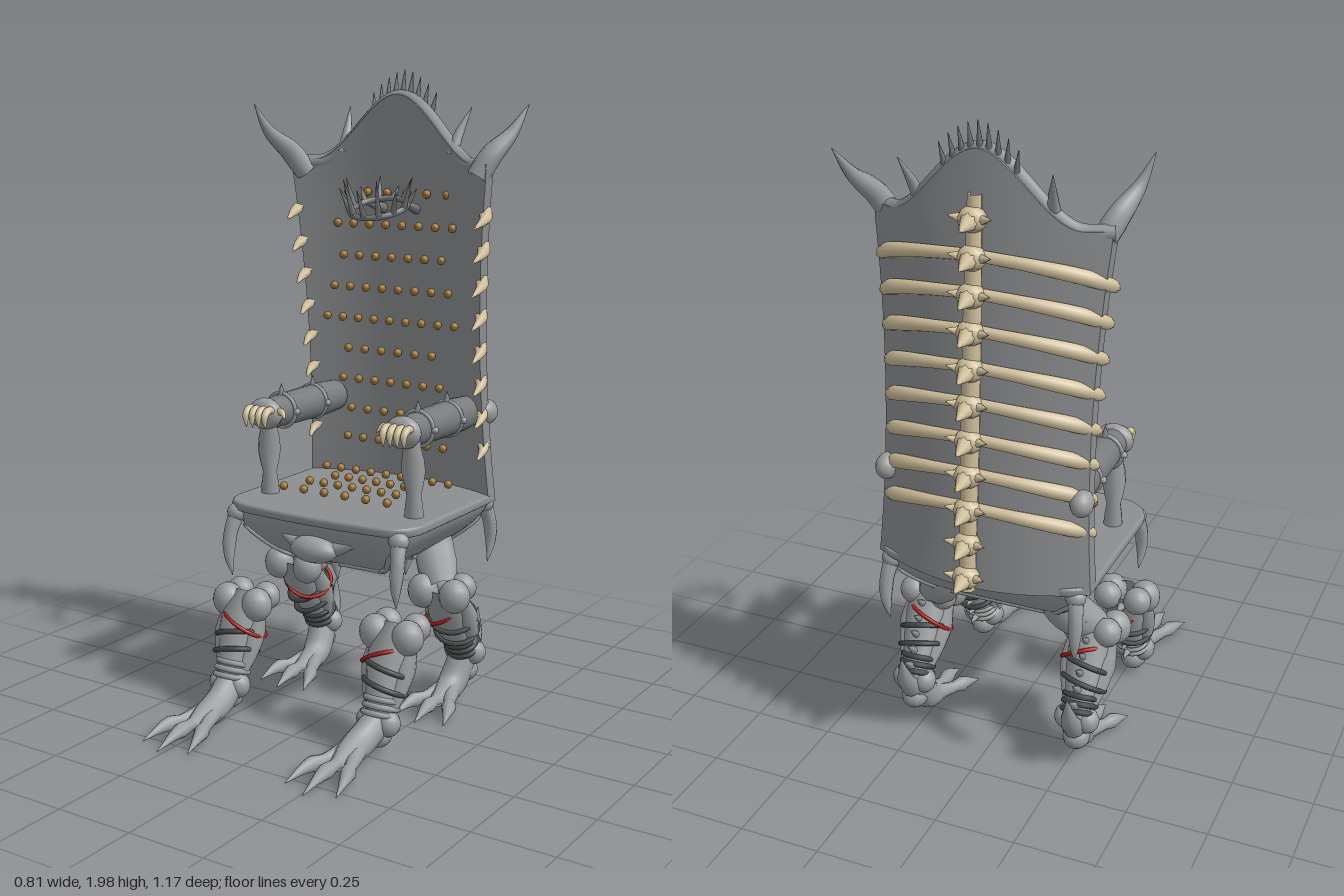
import * as THREE from 'three';

const V = (x, y, z) => new THREE.Vector3(x, y, z);
const mat = (c) => new THREE.MeshStandardMaterial({ color: c, side: THREE.DoubleSide });

export function createModel() {
  const root = new THREE.Group();
  const grey = mat(0x9a9c9e), hide = mat(0x8c8e90), iron = mat(0x787a7c), dark = mat(0x46484a);
  const bone = mat(0xcfbf9c), brass = mat(0x9a7438), red = mat(0xb01c1c);

  const add = (name, geo, m = grey, parent = root) => {
    const mesh = new THREE.Mesh(geo, m);
    mesh.name = name;
    parent.add(mesh);
    return mesh;
  };
  const group = (name) => {
    const g = new THREE.Group();
    g.name = name;
    root.add(g);
    return g;
  };
  // Tube through points whose radius follows a list of evenly spaced values
  const limb = (name, pts, radii, m, parent, seg = 14, sides = 10) => {
    const curve = new THREE.CatmullRomCurve3(pts.map((p) => V(...p)));
    const geo = new THREE.TubeGeometry(curve, seg, 1, sides);
    const pos = geo.attributes.position, p = V(0, 0, 0);
    for (let i = 0; i < pos.count; i++) {
      const t = Math.floor(i / (sides + 1)) / seg;
      const f = t * (radii.length - 1), k = Math.min(Math.floor(f), radii.length - 2);
      const c = curve.getPointAt(t);
      p.fromBufferAttribute(pos, i).sub(c).multiplyScalar(THREE.MathUtils.lerp(radii[k], radii[k + 1], f - k)).add(c);
      pos.setXYZ(i, p.x, p.y, p.z);
    }
    return add(name, geo, m, parent);
  };
  const spike = (name, a, b, r, m, parent) => limb(name, [a, b], [r, r * 0.55, 0.001], m, parent, 4, 8);
  const ball = (name, p, s, m, parent, n = 14) => {
    const mesh = add(name, new THREE.SphereGeometry(1, n, Math.ceil(n * 0.7)), m, parent);
    mesh.position.set(...p);
    mesh.scale.set(...(Array.isArray(s) ? s : [s, s, s]));
    return mesh;
  };
  const ring = (name, p, dir, R, r, m, parent) => {
    const mesh = add(name, new THREE.TorusGeometry(R, r, 8, 24), m, parent);
    mesh.position.set(...p);
    mesh.quaternion.setFromUnitVectors(V(0, 0, 1), V(...dir).normalize());
    return mesh;
  };

  // Backrest: a block bent round in plan, leaning forward, with a peaked top
  const edgeZ = (y) => -0.265 - 0.081 * (1.7 - y);
  const halfW = (y) => Math.min(0.318 + 0.1 * (y - 1.1) ** 2, 0.352);
  const topY = (u) => 1.71 + 0.205 * (1 - THREE.MathUtils.smoothstep(Math.abs(u), 0, 0.82));
  const back = new THREE.BoxGeometry(2, 1, 1, 40, 24, 2);
  const bp = back.attributes.position;
  for (let i = 0; i < bp.count; i++) {
    const u = bp.getX(i), y = 0.65 + (bp.getY(i) + 0.5) * (topY(u) - 0.65), t = 0.5 - bp.getZ(i);
    bp.setXYZ(i, u * halfW(y), y, edgeZ(y) - (0.08 + 0.015 * t) * (1 - u * u) - 0.045 * t);
  }
  back.computeVertexNormals();
  add('backrest', back, hide);
  const rim = [];
  for (let i = 0; i <= 24; i++) {
    const u = -1 + i / 12, y = topY(u);
    rim.push([u * 0.348, y - 0.01, edgeZ(y) - 0.088 * (1 - u * u) - 0.022]);
  }
  limb('backrestTopRim', rim, [0.025, 0.025], hide, root, 48);

  // Corner horns sweep opposite ways, with a small horn inside each
  const horns = group('horns');
  const hr = [0.034, 0.036, 0.031, 0.022, 0.012, 0.001];
  limb('horn', [[-0.315, 1.67, -0.29], [-0.345, 1.735, -0.25], [-0.376, 1.8, -0.175], [-0.405, 1.885, -0.135]], hr, grey, horns, 18);
  limb('horn', [[0.315, 1.67, -0.28], [0.345, 1.735, -0.31], [0.378, 1.8, -0.375], [0.405, 1.885, -0.435]], hr, grey, horns, 18);
  for (const s of [-1, 1]) limb('smallHorn', [[s * 0.2, 1.73, -0.33], [s * 0.203, 1.79, -0.36], [s * 0.222, 1.875, -0.41]], [0.02, 0.014, 0.001], grey, horns);
  for (let i = -4; i <= 4; i++) {
    const x = i * 0.025, y = topY(x / 0.35);
    spike('crestSpike', [x, y - 0.02, -0.365], [x * 1.15, y + 0.075 - Math.abs(i) * 0.003, -0.38], 0.013, iron, horns);
  }

  // Projecting crown on the backrest, tipped forward
  const crown = group('crown');
  ring('crownBand', [0, 1.57, -0.23], [0, 1, 0.3], 0.089, 0.01, iron, crown);
  for (let i = 0; i < 12; i++) {
    const a = (i / 12) * Math.PI * 2, c = Math.cos(a), s = Math.sin(a), h = i % 2 ? 0.055 : 0.085;
    spike('crownSpike', [0.089 * c, 1.57 - 0.025 * s, -0.23 + 0.085 * s], [0.118 * c, 1.575 + h, -0.225 + 0.122 * s], 0.011, iron, crown);
  }
  for (const s of [-1, 1]) limb('crownBracket', [[s * 0.06, 1.56, -0.36], [s * 0.065, 1.57, -0.32], [s * 0.07, 1.58, -0.28]], [0.016, 0.014, 0.008], iron, crown);

  // Upholstery studs on the back and the seat
  const studs = group('studs');
  const row = (n, half, fn) => { for (let i = 0; i < n; i++) ball('stud', fn(-half + (2 * half * i) / (n - 1)), 0.014, brass, studs, 8); };
  [[6, 0.18], [8, 0.21], [7, 0.18], [8, 0.21], [9, 0.235], [6, 0.155], [7, 0.18], [6, 0.155], [7, 0.18]].forEach(([n, h], i) => {
    const y = 1.61 - i * 0.1;
    row(n, h, (x) => [x, y, -0.295 - 0.24 * (y - 1.2) ** 2]);
  });
  [[6, 0.19], [7, 0.16], [6, 0.13], [9, 0.23]].forEach(([n, h], i) => row(n, h, (x) => [x, 0.712, 0.02 - i * 0.1]));

  // Spine and ribs behind the backrest
  const spine = group('spine');
  const backZ = (y) => edgeZ(y) - 0.15;
  limb('spinalColumn', [[0, 1.8, backZ(1.8)], [0, 0.65, backZ(0.65)]], [0.02, 0.027, 0.027, 0.024], bone, spine);
  for (let i = 0; i < 11; i++) {
    const y = 1.735 - i * 0.104, z = backZ(y);
    ball('vertebra', [0, y, z - 0.012], [0.042, 0.036, 0.036], bone, spine, 10);
    spike('spinousProcess', [0, y, z - 0.02], [0, y - 0.012, z - 0.095], 0.032, bone, spine);
    for (const s of [-1, 1]) spike('sideProcess', [s * 0.01, y, z - 0.015], [s * 0.064, y + 0.01, z - 0.03], 0.022, bone, spine);
  }
  for (let i = 0; i < 8; i++) {
    const y = 1.635 - i * 0.104, e = edgeZ(y), w = halfW(y);
    for (const s of [-1, 1]) {
      limb('rib', [[0, y, e - 0.15], [s * w * 0.5, y - 0.018, e - 0.125], [s * w * 0.85, y - 0.05, e - 0.072],
        [s * (w - 0.002), y - 0.085, e - 0.012], [s * (w - 0.006), y - 0.112, e + 0.045 - i * 0.004]],
      [0.018, 0.018, 0.019, 0.021, 0.023, 0.023, 0.02, 0.004], bone, spine, 24, 8);
    }
  }

  // Seat plate with rounded corners and a slightly bowed front
  const seat = new THREE.Shape();
  seat.moveTo(-0.33, 0.34).lineTo(-0.33, -0.06).quadraticCurveTo(-0.32, -0.135, -0.24, -0.145);
  seat.quadraticCurveTo(0, -0.17, 0.24, -0.145).quadraticCurveTo(0.32, -0.135, 0.33, -0.06).lineTo(0.33, 0.34);
  seat.quadraticCurveTo(0.33, 0.42, 0.25, 0.425).lineTo(-0.25, 0.425).quadraticCurveTo(-0.33, 0.42, -0.33, 0.34);
  const plate = new THREE.ExtrudeGeometry(seat, { depth: 0.01, bevelThickness: 0.01, bevelSize: 0.01, bevelSegments: 3, curveSegments: 10 });
  plate.rotateX(-Math.PI / 2);
  add('seat', plate, hide).position.y = 0.655;

  // Hollow scalloped skirt: each side curves in below and is deepest in its middle
  const N = 120, R = 10, zc = -0.138, outline = seat.getSpacedPoints(N), verts = [], idx = [], hem = [];
  outline.forEach((q, i) => {
    const x = q.x, z = -q.y - zc, ax = Math.abs(x) / 0.33, az = Math.abs(z) / 0.29;
    const depth = 0.05 + 0.12 * (1 - THREE.MathUtils.smoothstep(Math.min(ax, az), 0.5, 1));
    for (let j = 0; j <= R; j++) {
      const d = (depth * j) / R, k = 0.5 * (d / 0.17) ** 1.6;
      verts.push(x * (1 - k * Math.min(ax, 1) ** 5), 0.66 - d, zc + z * (1 - k * Math.min(az, 1) ** 5));
    }
    if (i === N) return;
    hem.push(V(...verts.slice(-3)));
    for (let j = 0; j < R; j++) {
      const a = i * (R + 1) + j, b = a + R + 1;
      idx.push(a, a + 1, b, b, a + 1, b + 1);
    }
  });
  const skirt = new THREE.BufferGeometry();
  skirt.setAttribute('position', new THREE.Float32BufferAttribute(verts, 3));
  skirt.setIndex(idx);
  skirt.computeVertexNormals();
  add('seatSkirt', skirt);
  add('skirtHem', new THREE.TubeGeometry(new THREE.CatmullRomCurve3(hem, true), 140, 0.008, 8, true));

  // Skirt ornaments: front boss with scrolls, pendants, corner talons
  const trim = group('skirtOrnaments');
  ball('boss', [0, 0.565, 0.13], [0.082, 0.042, 0.05], grey, trim);
  for (const s of [-1, 1]) {
    limb('scroll', [[0, 0.56, 0.12], [s * 0.08, 0.575, 0.115], [s * 0.15, 0.6, 0.11]], [0.028, 0.022, 0.003], grey, trim);
    spike('sidePendant', [s * 0.17, 0.5, -0.14], [s * 0.16, 0.44, -0.14], 0.018, grey, trim);
    for (const [z, f] of [[0.125, 1], [-0.4, -1]]) {
      ball('cornerKnob', [s * 0.295, 0.635, z], [0.032, 0.03, 0.03], grey, trim);
      limb('cornerTalon', [[s * 0.295, 0.635, z], [s * 0.305, 0.57, z + f * 0.022], [s * 0.305, 0.5, z + f * 0.03], [s * 0.3, 0.435, z + f * 0.02]],
        [0.026, 0.022, 0.021, 0.014, 0.001], grey, trim);
    }
  }
  spike('frontPendant', [0, 0.5, 0.01], [0, 0.435, 0.0], 0.02, grey, trim);
  spike('rearPendant', [0, 0.5, -0.28], [0, 0.45, -0.275], 0.02, grey, trim);

  // Arms: forearm, straps, clawed hand and a post
  for (const s of [-1, 1]) {
    const arm = group(s > 0 ? 'leftArm' : 'rightArm'), x = s * 0.25;
    limb('forearm', [[x, 0.935, 0.035], [x, 0.935, -0.1], [x, 0.935, -0.36]], [0.044, 0.05, 0.053, 0.054, 0.055, 0.05], iron, arm, 14, 16);
    ball('hand', [x, 0.938, 0.03], [0.06, 0.05, 0.036], grey, arm);
    for (const z of [-0.055, -0.23]) {
      ring('strap', [x, 0.935, z], [0, 0, 1], 0.054, 0.007, grey, arm);
      spike('strapSpike', [x, 0.985, z], [x, 1.02, z], 0.012, grey, arm);
      for (const t of [-1, 1]) ball('strapStud', [x + t * 0.06, 0.935, z], 0.011, grey, arm, 8);
    }
    for (let i = 0; i < 4; i++) {
      const fx = x + (i - 1.5) * 0.024;
      limb('claw', [[fx, 0.95, 0.04], [fx, 0.957, 0.065], [fx, 0.94, 0.085], [fx, 0.9, 0.082]], [0.011, 0.013, 0.01, 0.001], bone, arm, 10, 8);
    }
    limb('thumbClaw', [[x - s * 0.04, 0.945, 0.025], [x - s * 0.065, 0.95, 0.035], [x - s * 0.085, 0.93, 0.045]], [0.014, 0.011, 0.001], bone, arm, 8, 8);
    limb('armPost', [[x + s * 0.01, 0.92, 0], [x + s * 0.015, 0.8, -0.008], [x + s * 0.015, 0.67, -0.012]], [0.028, 0.027, 0.034, 0.036, 0.03, 0.022, 0.027, 0.03], grey, arm, 21, 12);
    ball('elbow', [s * 0.305, 0.935, -0.385], [0.034, 0.04, 0.045], grey, arm);
  }

  // Clawed legs: knee balls, strapped shin, ankle and three-toed foot
  const leg = (name, s, [ky, kz], [ay, az], tip, rear) => {
    const g = group(name), x = s * 0.275;
    const at = (t) => [x, ky + (ay - ky) * t, kz + (az - kz) * t], dir = [0, ay - ky, az - kz];
    const len = Math.hypot(dir[1], dir[2]), ny = dir[2] / len, nz = -dir[1] / len;
    if (rear) {
      limb('thigh', [[s * 0.17, 0.6, -0.27], [s * 0.2, 0.5, -0.25], [x, ky, kz]], [0.05, 0.065, 0.065, 0.05], grey, g);
      limb('hockSpur', [[x, ay - 0.02, az - 0.02], [x, ay + 0.03, az - 0.06], [x, ay + 0.12, az - 0.085]], [0.035, 0.025, 0.001], grey, g);
    }
    limb('shin', [at(-0.08), at(0.5), at(1)], [0.04, 0.064, 0.069, 0.066, 0.057, 0.048, 0.045], grey, g, 18, 14);
    for (const t of [-1, 1]) {
      ball('kneeBall', [x + t * 0.056, ky - 0.008, kz + 0.025], [0.049, 0.054, 0.048], grey, g);
      ball('kneeBall', [x + t * 0.05, ky + 0.005, kz - 0.035], [0.045, 0.045, 0.043], grey, g);
      limb('muscle', [at(0.1), at(0.5), at(0.95)].map((p, i) => [p[0] + t * [0.055, 0.05, 0.032][i], p[1], p[2]]), [0.022, 0.037, 0.028, 0.012], grey, g);
      ball('ankleBall', [x + t * 0.035, ay, az], [0.036, 0.04, 0.038], grey, g);
    }
    // The red cord lies on the inner side of the shin, dark straps go all round
    ring('redCord', [x - s * 0.014, ...at(0.3).slice(1)], [s * 0.12, dir[1], dir[2]], 0.074, 0.006, red, g);
    for (const t of [0.42, 0.62]) ring('strap', at(t), [-s * 0.06, dir[1], dir[2]], 0.08 - t * 0.02, 0.008, dark, g);
    for (let i = 0; i < 3; i++) ring('ankleBand', at(0.76 + i * 0.08), dir, 0.05, 0.009, rear ? dark : grey, g);
    for (let i = 0; i < 6; i++) {
      const p = at(0.02 + i * 0.17);
      spike('shinSpike', [p[0], p[1] - ny * 0.04, p[2] - nz * 0.04], [p[0], p[1] - ny * 0.1 + 0.015, p[2] - nz * 0.1], 0.016, grey, g);
    }
    const L = tip - az, fx = s * 0.262;
    limb('foot', [[x, ay + 0.01, az - 0.01], [fx, 0.06, az + L * 0.22], [fx, 0.035, az + L * 0.55]], [0.045, 0.046, 0.046, 0.04, 0.02], grey, g, 14, 12);
    ball('heel', [x, Math.max(ay * 0.6, 0.04), az], [0.042, 0.04, 0.045], grey, g);
    for (const t of [-1, 0, 1]) {
      const e = t ? 0.9 : 1;
      limb('toe', [[fx + t * 0.014, 0.055, az + L * 0.28], [fx + t * 0.04, 0.04, az + L * 0.55 * e], [fx + t * 0.066, 0.035, az + L * 0.75 * e], [fx + t * 0.086, 0.01, tip - (1 - e) * L]],
        [0.027, 0.025, 0.021, 0.018, 0.024, 0.016, 0.008, 0.001], grey, g, 21);
    }
  };
  for (const s of [-1, 1]) {
    const side = s > 0 ? 'left' : 'right';
    leg(side + 'FrontLeg', s, [0.355, 0.105], [0.1, 0.2], 0.575, false);
    leg(side + 'RearLeg', s, [0.405, -0.175], [0.16, -0.325], -0.03, true);
  }
  return root;
}
